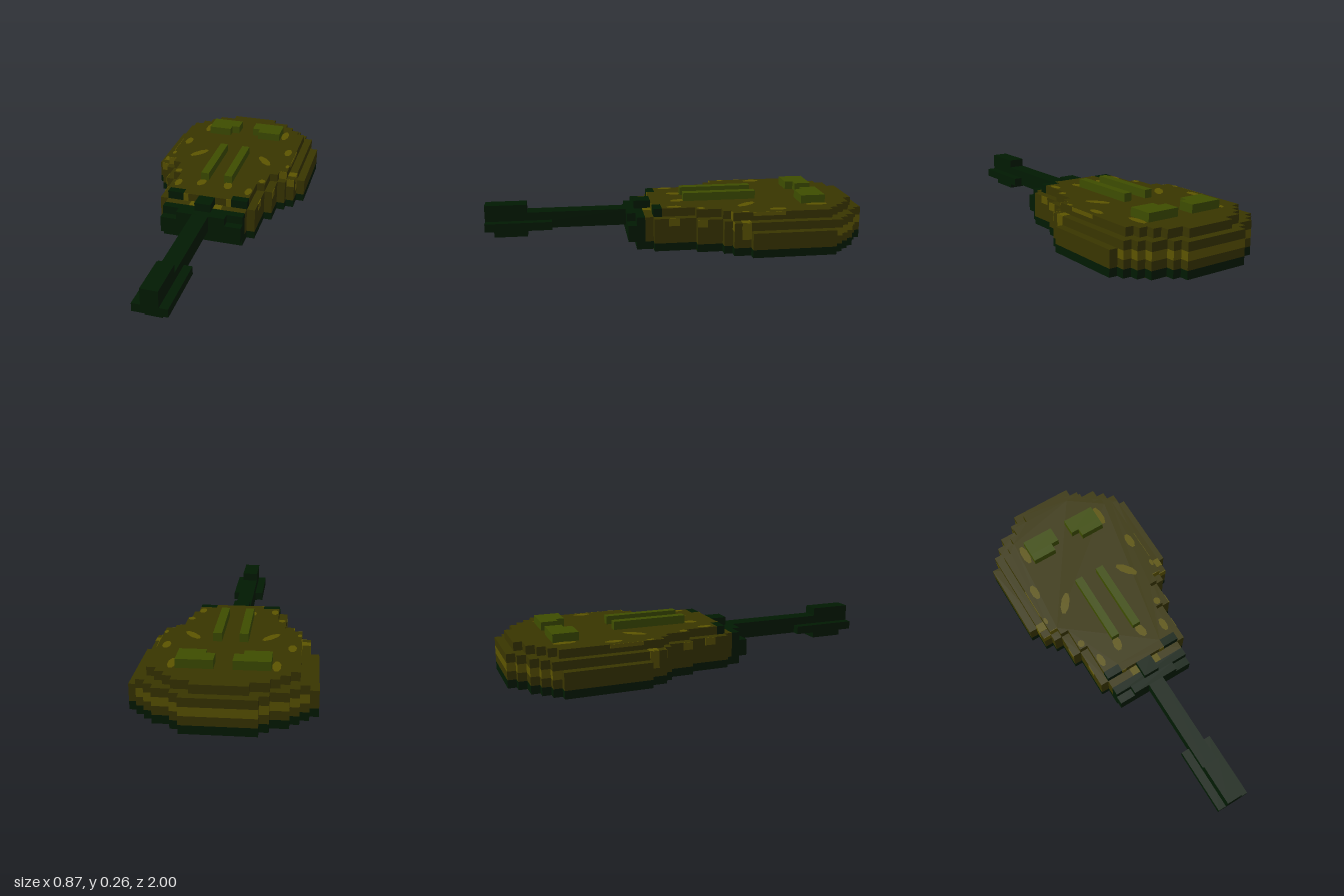
import * as THREE from 'three';

const U = 2 / 46; // grid step: 46 steps long, rows counted from the back

const paint = (name, color) => {
  const m = new THREE.MeshStandardMaterial({ color });
  m.name = name;
  return m;
};

export function createModel() {
  const root = new THREE.Group();
  root.name = 'turret';
  const dark = paint('dark green', 0x011a02);
  const brown = paint('olive brown', 0x393500);
  const yellow = paint('mustard', 0x5c5400);
  const green = paint('moss green', 0x3e4d00);
  const earth = paint('underside earth', 0x544a00);

  const add = (name, geo, mat) => {
    const mesh = new THREE.Mesh(geo, mat);
    mesh.name = name;
    root.add(mesh);
    return mesh;
  };

  // Box given by grid limits in x, height and row
  const block = (name, mat, x0, x1, y0, y1, r0, r1) => {
    const g = new THREE.BoxGeometry((x1 - x0) * U, (y1 - y0) * U, (r1 - r0) * U);
    g.translate((x0 + x1) / 2 * U, (y0 + y1) / 2 * U, (r0 + r1) / 2 * U - 1);
    return add(name, g, mat);
  };
  const pair = (name, mat, x0, x1, ...rest) => {
    block(name + 'Left', mat, x0, x1, ...rest);
    block(name + 'Right', mat, -x1, -x0, ...rest);
  };

  // Stepped slab: runs of [row count, half width] from a starting row
  const slab = (name, mat, y0, y1, row, runs) => {
    const side = [];
    for (const [n, w] of runs) {
      side.push([w, row], [w, row + n]);
      row += n;
    }
    const outline = [...side, ...side.map(([x, r]) => [-x, r]).reverse()];
    const shape = new THREE.Shape(outline.map(([x, r]) => new THREE.Vector2(x * U, 1 - r * U)));
    const g = new THREE.ExtrudeGeometry(shape, { depth: (y1 - y0) * U, bevelEnabled: false });
    g.rotateX(-Math.PI / 2).translate(0, y0 * U, 0);
    add(name, g, mat);
  };

  // Hull layers
  const tail = [[1, 4], [1, 5], [1, 7], [1, 8], [1, 9]];
  const nose = [[1, 8], [3, 7], [5, 6]];
  slab('baseRing', dark, 0.04, 1, 0, [...tail, [10, 10], [2, 9], ...nose, [2, 5]]);
  slab('underside', earth, 0, 0.1, 1, [[1, 4], [1, 5], [1, 7], [1, 8], [10, 9], [2, 8], [1, 7], [3, 6], [5, 5]]);
  slab('lowerHull', brown, 1, 2, 0, [...tail, [10, 10], [2, 9], ...nose, [1, 5]]);
  slab('rearBand', yellow, 2, 3, 0, tail);
  slab('middleHull', brown, 2, 3, 5, [[10, 10], [2, 9], ...nose, [1, 5]]);
  slab('upperHull', brown, 3, 4, 0, [...tail, [12, 9], [1, 8], [3, 7], [5, 6], [1, 5]]);
  slab('roof', brown, 4, 5, 1, [[1, 3], [1, 5], [1, 6], [1, 7], [12, 8], [1, 7], [3, 6], [4, 5], [1, 3]]);

  // Gun mount, with a centre ridge and raised cheeks behind a recess
  block('mountPlate', dark, -5, 5, 1, 4, 27, 28);
  block('mountFrontCentre', dark, -3, 3, 1, 4, 28, 29);
  pair('mountFrontEnd', dark, 3, 5, 1, 3, 28, 29);
  block('mountRidge', dark, -1, 1, 4, 5, 26, 28);
  pair('mountCheek', dark, 3, 5, 4, 5, 25, 26);

  // Barrel and cross-shaped muzzle
  block('barrel', dark, -1, 1, 2, 4, 28, 46);
  block('muzzleSides', dark, -2, 2, 2, 3, 38, 46);
  block('muzzleTop', dark, -1, 1, 4, 5, 41, 46);
  block('muzzleBottom', dark, -1, 1, 1, 2, 41, 45);

  // Roof hatches with a notched inner corner, and long rails
  pair('hatch', green, 1, 5, 5, 6, 5, 7);
  pair('hatchFront', green, 2, 5, 5, 6, 7, 8);
  pair('rail', green, 1, 2, 5, 6, 13, 22);

  // Camouflage patches on the roof: x, row, width, length, turn
  const patches = [
    [5.5, 6.2, 0.9, 2.6, 0], [7, 11.4, 0.9, 2, 0], [4.5, 14.7, 1, 2.8, 0.65],
    [1.7, 22.7, 1, 1.8, 0.2], [4.5, 23.5, 0.8, 1.7, 0], [5.5, 20.4, 0.8, 0.9, 0],
    [7.75, 15.5, 0.45, 0.9, 0],
  ];
  const octagon = new THREE.CircleGeometry(0.54, 8, Math.PI / 8).rotateX(-Math.PI / 2);
  for (const [x, r, w, l, turn] of patches) {
    for (const s of [1, -1]) {
      const m = add('roofPatch', octagon, yellow);
      m.scale.set(w * U, 1, l * U);
      m.position.set(s * x * U, 5 * U + 0.002, r * U - 1);
      m.rotation.y = s * turn;
    }
  }

  // Camouflage patches on the stepped shoulders and nose
  pair('shoulderTop', yellow, 8, 9, 4, 4.05, 15, 16.1);
  pair('shoulderSide', yellow, 8.95, 9.05, 2, 4, 15, 16.1);
  pair('shoulderLowFace', yellow, 8, 9, 3, 4, 16.95, 17.05);
  pair('shoulderHighFace', yellow, 7, 8, 4, 5, 16.95, 17.05);
  pair('roofEdgePatch', yellow, 7.95, 8.05, 4.55, 5, 10.7, 14.6);
  pair('sidePatchRear', yellow, 6.95, 7.05, 3.1, 4, 19.8, 21);
  pair('sidePatchFront', yellow, 5.95, 6.05, 3.1, 4, 23, 24.3);
  pair('noseFace', yellow, 2.4, 3, 4, 5, 25.95, 26.05);
  pair('noseTop', yellow, 1, 2, 4, 4.05, 26, 27);

  return root;
}
